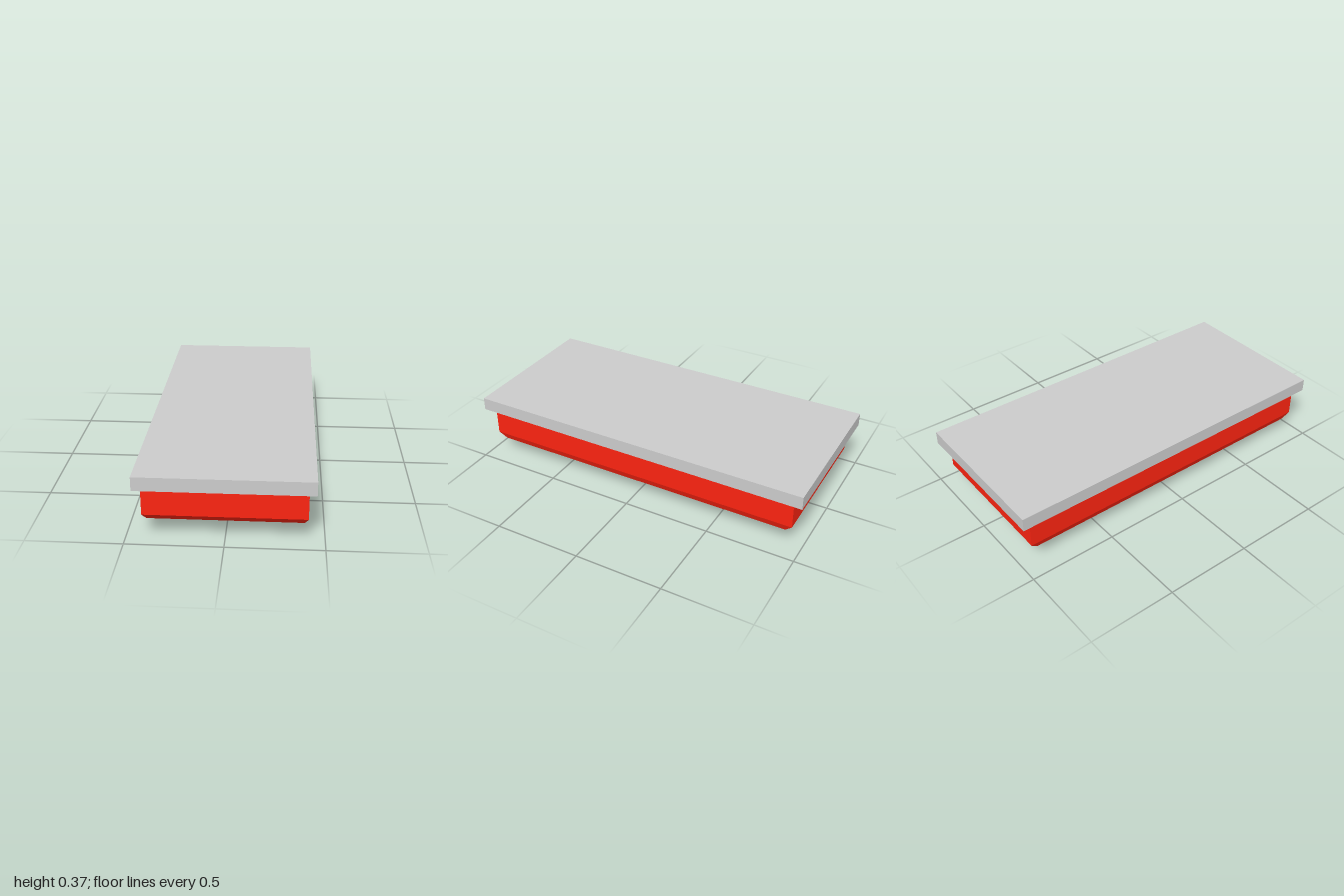
import * as THREE from 'three';

export function createModel() {
  const group = new THREE.Group();
  const grey = new THREE.MeshStandardMaterial({ color: 0xcccccc, flatShading: true });
  const red = new THREE.MeshStandardMaterial({ color: 0xfc2411, flatShading: true });

  // Flat top slab
  const slab = new THREE.Mesh(new THREE.BoxGeometry(0.896, 0.074, 2), grey);
  slab.name = 'topSlab';
  slab.position.y = 0.336;
  group.add(slab);

  // Rectangular body with a domed underside: [fraction of half width, height]
  const profile = [
    [0, 0], [0.157, 0.001], [0.415, 0.009], [0.65, 0.028], [0.838, 0.058],
    [0.957, 0.096], [1, 0.138], [1, 0.299], [0, 0.299],
  ].map(([r, y]) => new THREE.Vector2(r * Math.SQRT2, y));

  // Four-sided lathe turned to put its corners on the diagonals, then stretched
  const bodyGeometry = new THREE.LatheGeometry(profile, 4, Math.PI / 4);
  bodyGeometry.scale(0.413, 1, 0.945);
  const body = new THREE.Mesh(bodyGeometry, red);
  body.name = 'domedBody';
  group.add(body);

  return group;
}
